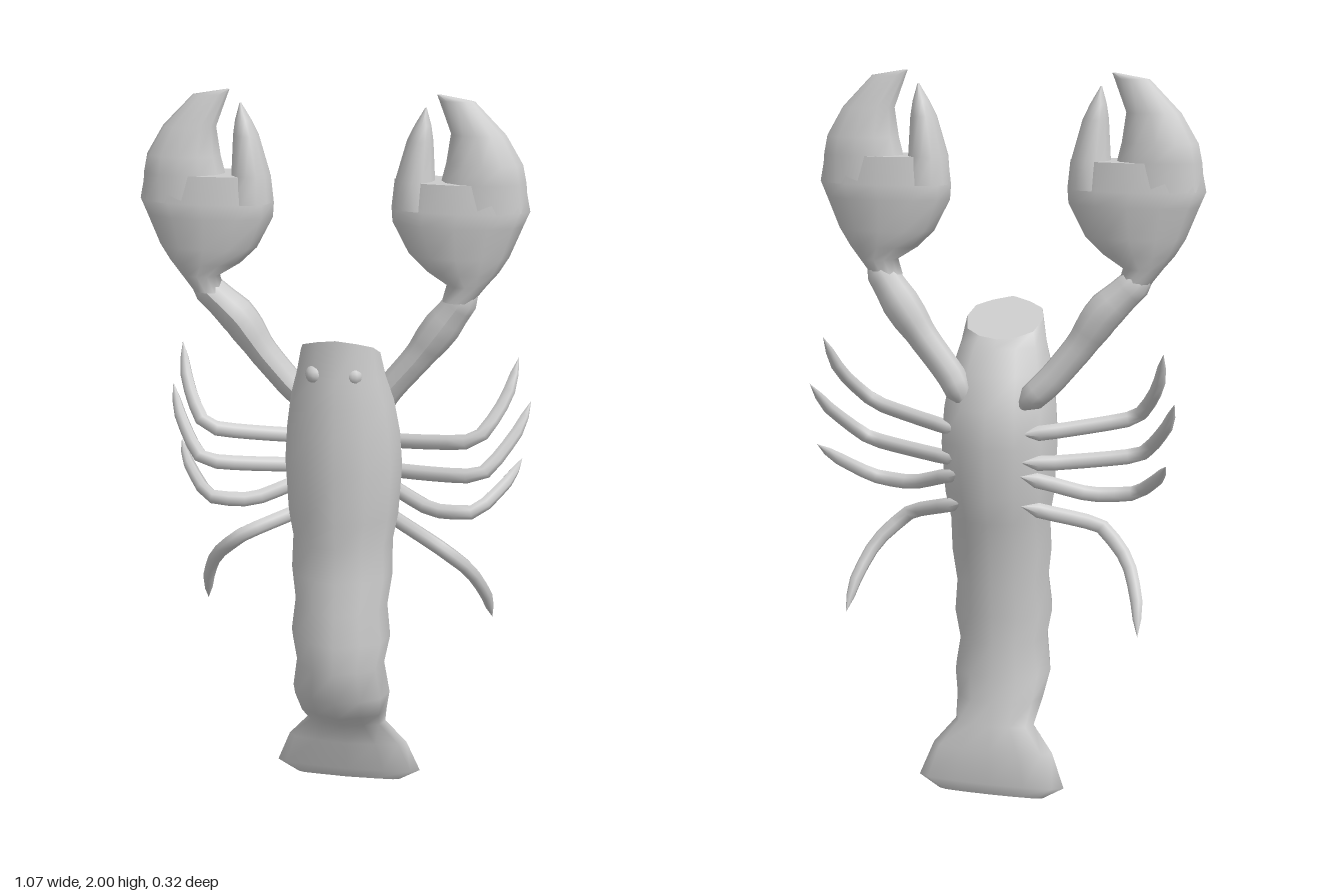
import * as THREE from 'three';

const material = new THREE.MeshStandardMaterial({ color: 0xcccccc });

function addMesh(parent, geometry, name) {
  const mesh = new THREE.Mesh(geometry, material);
  mesh.name = name;
  parent.add(mesh);
  return mesh;
}

// Skin over rings of points listed from bottom to top, with separate end caps
function loft(rings) {
  const n = rings[0].length, pos = [], idx = [];
  rings.forEach(r => r.forEach(p => pos.push(...p)));
  for (let i = 0; i < rings.length - 1; i++) {
    for (let j = 0; j < n; j++) {
      const a = i * n + j, b = i * n + (j + 1) % n;
      idx.push(a, b, b + n, a, b + n, a + n);
    }
  }
  [rings[0], rings[rings.length - 1]].forEach((r, top) => {
    const s = pos.length / 3;
    r.forEach(p => pos.push(...p));
    for (let j = 1; j < n - 1; j++) {
      if (top) idx.push(s, s + j, s + j + 1);
      else idx.push(s, s + j + 1, s + j);
    }
  });
  const g = new THREE.BufferGeometry();
  g.setAttribute('position', new THREE.Float32BufferAttribute(pos, 3));
  g.setIndex(idx);
  g.computeVertexNormals();
  return g;
}

// Tube along points whose radius follows evenly spaced values
function taperedTube(points, radii, sides = 7, segments = 12) {
  const curve = new THREE.CatmullRomCurve3(points, false, 'catmullrom', 0.25);
  const g = new THREE.TubeGeometry(curve, segments, 1, sides, false);
  const p = g.attributes.position, v = new THREE.Vector3();
  for (let i = 0; i <= segments; i++) {
    const c = curve.getPointAt(i / segments);
    const f = (i / segments) * (radii.length - 1), k = Math.min(Math.floor(f), radii.length - 2);
    const r = THREE.MathUtils.lerp(radii[k], radii[k + 1], f - k);
    for (let j = 0; j <= sides; j++) {
      const q = i * (sides + 1) + j;
      v.fromBufferAttribute(p, q).sub(c).multiplyScalar(r).add(c);
      p.setXYZ(q, v.x, v.y, v.z);
    }
  }
  g.computeVertexNormals();
  return g;
}

const BODY_X = 0.035;

// Half cross-section of the shell, from the front ridge round to the back
const HALF = [[0, 1], [0.5, 0.78], [0.88, 0.5], [1, 0], [0.86, -0.58], [0.48, -0.88]];
const SECTION = [...HALF, [0, -1], ...HALF.slice(1).reverse().map(([x, z]) => [-x, z])];

// y, half width, front z, back z
const BODY = [
  [0, 0.15, -0.09, -0.115],
  [0.035, 0.21, -0.07, -0.13],
  [0.13, 0.172, -0.04, -0.128],
  [0.2, 0.113, -0.01, -0.115],
  [0.265, 0.125, 0.09, -0.103],
  [0.335, 0.138, 0.145, -0.095],
  [0.43, 0.124, 0.165, -0.09],
  [0.51, 0.14, 0.163, -0.093],
  [0.6, 0.13, 0.155, -0.1],
  [0.69, 0.142, 0.143, -0.11],
  [0.785, 0.14, 0.137, -0.128],
  [0.86, 0.154, 0.148, -0.147],
  [1.0, 0.163, 0.155, -0.16],
  [1.1, 0.156, 0.153, -0.148],
  [1.19, 0.142, 0.148, -0.11],
  [1.26, 0.122, 0.14, -0.065]
];

function makeBody() {
  const ring = (hw, zf, zb, yAt) => SECTION.map(([x, z]) => {
    const pz = (zf + zb) / 2 + z * (zf - zb) / 2;
    return [BODY_X + x * hw, yAt(pz), pz];
  });
  const rings = BODY.map(([y, hw, zf, zb]) => ring(hw, zf, zb, () => y));
  // slanted head end rising to the pointed beak
  rings.push(ring(0.108, 0.13, -0.035, z => 1.375 + (z - 0.13) * 0.57));
  return loft(rings);
}

// Claw rings: y, inner x, outer x, half depth
const PALM = [
  [1.45, 0.3, 0.385, 0.042], [1.495, 0.312, 0.42, 0.046], [1.53, 0.255, 0.45, 0.058],
  [1.575, 0.208, 0.478, 0.068], [1.66, 0.163, 0.513, 0.079], [1.7, 0.16, 0.53, 0.079],
  [1.775, 0.168, 0.515, 0.07]
];
const FINGER = [
  [1.7, 0.27, 0.525, 0.072], [1.775, 0.293, 0.518, 0.07], [1.823, 0.305, 0.508, 0.064],
  [1.9, 0.316, 0.462, 0.046], [1.985, 0.284, 0.378, 0.018], [2.0, 0.278, 0.29, 0.005]
];
const THUMB = [
  [1.7, 0.163, 0.3, 0.066], [1.775, 0.17, 0.276, 0.064], [1.88, 0.2, 0.27, 0.042],
  [1.92, 0.22, 0.264, 0.026], [1.965, 0.247, 0.251, 0.004]
];

function clawPart(rows, side) {
  const n = 12;
  return loft(rows.map(([y, a, b, d]) => Array.from({ length: n }, (_, j) => {
    const t = (j / n) * Math.PI * 2;
    return [-0.008 + side * (a + b) / 2 + Math.sin(t) * (b - a) / 2, y, -0.066 + Math.cos(t) * d];
  })));
}

// Arm path: centre x, sideways offset, y, z
const ARM = [
  [0.03, 0.07, 1.1, -0.105], [0.008, 0.137, 1.185, -0.095], [0.008, 0.215, 1.28, -0.085],
  [0.01, 0.282, 1.375, -0.08], [-0.005, 0.36, 1.465, -0.068], [-0.008, 0.375, 1.5, -0.066]
];

// Walking legs: sideways offset, y, z
const LEGS = [
  [[0.08, 1.04, -0.12], [0.15, 1.043, -0.08], [0.37, 1.08, 0], [0.445, 1.18, -0.08], [0.472, 1.283, -0.138]],
  [[0.08, 0.965, -0.125], [0.15, 0.957, -0.08], [0.385, 0.98, -0.01], [0.475, 1.08, -0.1], [0.507, 1.155, -0.155]],
  [[0.08, 0.925, -0.125], [0.15, 0.9, -0.08], [0.255, 0.865, -0.03], [0.375, 0.873, -0.015], [0.455, 0.94, -0.1], [0.487, 0.988, -0.16]],
  [[0.08, 0.84, -0.115], [0.15, 0.815, -0.07], [0.275, 0.77, 0], [0.36, 0.69, -0.04], [0.4, 0.6, -0.1], [0.415, 0.51, -0.152]]
];

export function createModel() {
  const model = new THREE.Group();
  model.name = 'lobster';
  addMesh(model, makeBody(), 'bodyAndTail');

  for (const side of [1, -1]) {
    const label = side > 0 ? 'left' : 'right';

    // eye
    const eye = addMesh(model, new THREE.SphereGeometry(0.026, 12, 8), label + 'Eye');
    eye.position.set(0.028 + side * 0.053, 1.275, 0.102);

    // arm and pincer
    const claw = new THREE.Group();
    claw.name = label + 'Claw';
    model.add(claw);
    const path = ARM.map(([c, dx, y, z]) => new THREE.Vector3(c + side * dx, y, z));
    addMesh(claw, taperedTube(path, [0, 0.037, 0.04, 0.04, 0.041, 0.043, 0.05, 0.052, 0.046, 0.043, 0.02], 9, 20), 'arm');
    addMesh(claw, clawPart(PALM, side), 'palm');
    addMesh(claw, clawPart(FINGER, side), 'finger');
    addMesh(claw, clawPart(THUMB, side), 'thumb');

    // four walking legs
    LEGS.forEach((leg, i) => {
      const pts = leg.map(([dx, y, z]) => new THREE.Vector3(0.025 + side * dx, y, z));
      addMesh(model, taperedTube(pts, [0, 0.021, 0.021, 0.021, 0.021, 0.021, 0.021, 0.02, 0.019, 0.018, 0.017, 0.012, 0]), label + 'Leg' + (i + 1));
    });
  }
  return model;
}
